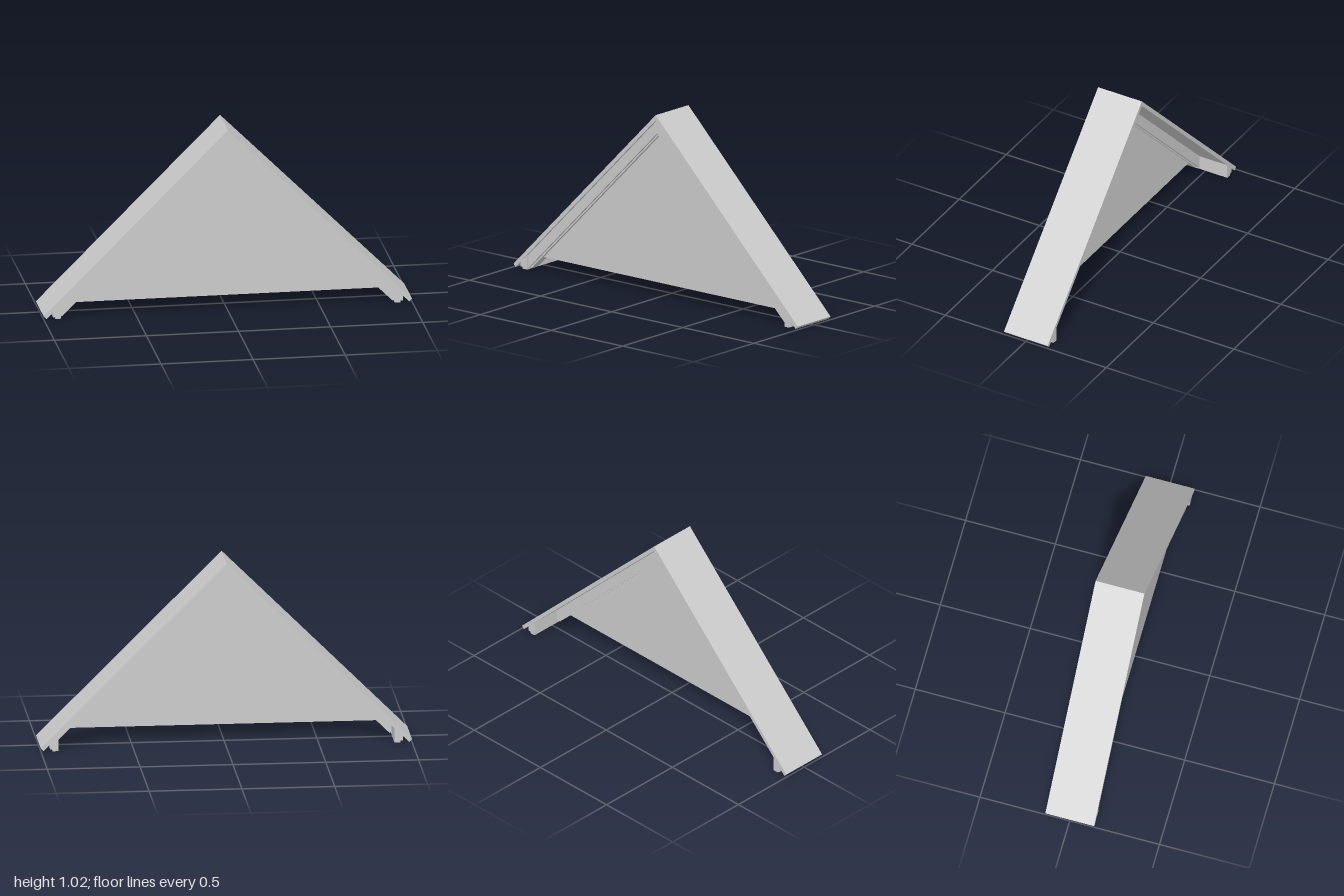
import * as THREE from 'three';

const material = new THREE.MeshStandardMaterial({ color: 0xcccccc, flatShading: true });

// Extrudes an outline in the xy plane between two depths
function slab(name, points, zBack, zFront) {
  const shape = new THREE.Shape(points.map(([x, y]) => new THREE.Vector2(x, y)));
  const geometry = new THREE.ExtrudeGeometry(shape, { depth: zFront - zBack, bevelEnabled: false });
  geometry.translate(0, 0, zBack);
  const mesh = new THREE.Mesh(geometry, material);
  mesh.name = name;
  return mesh;
}

// Inverted V band between two 45 degree lines, given half of its foot outline
function chevron(name, topApex, foot, lowApex, zBack, zFront) {
  const mirrored = foot.map(([x, y]) => [-x, y]).reverse();
  return slab(name, [[0, topApex], ...mirrored.reverse(), [0, lowApex], ...foot.slice().reverse()], zBack, zFront);
}

export function createModel() {
  const model = new THREE.Group();
  const depth = 0.136;

  // Roof boards with square-cut eaves
  model.add(chevron('roof', 1.017, [[1, 0.017], [0.985, 0.002]], 0.987, -depth, depth));

  // Sloping gable rafters under the roof, with a thin recessed lip
  model.add(chevron('gableRafters', 0.987, [[0.905, 0.082], [0.905, 0.008]], 0.913, 0.035, 0.122));
  model.add(chevron('rafterLip', 0.913, [[0.905, 0.008], [0.897, 0.004]], 0.901, 0.05, 0.108));

  // Triangular gable panel
  model.add(slab('gablePanel', [[-0.845, 0.075], [0.845, 0.075], [0, 0.92]], 0.058, 0.09));

  // Eave beams running the full depth, with a stepped outer edge
  const beam = [[0.905, 0], [0.937, 0], [0.937, 0.01], [0.95, 0.01], [0.95, 0.037], [0.905, 0.082]];
  for (const side of [1, -1]) {
    const name = side > 0 ? 'leftEaveBeam' : 'rightEaveBeam';
    model.add(slab(name, beam.map(([x, y]) => [side * x, y]), -depth, depth - 0.002));
  }
  return model;
}
